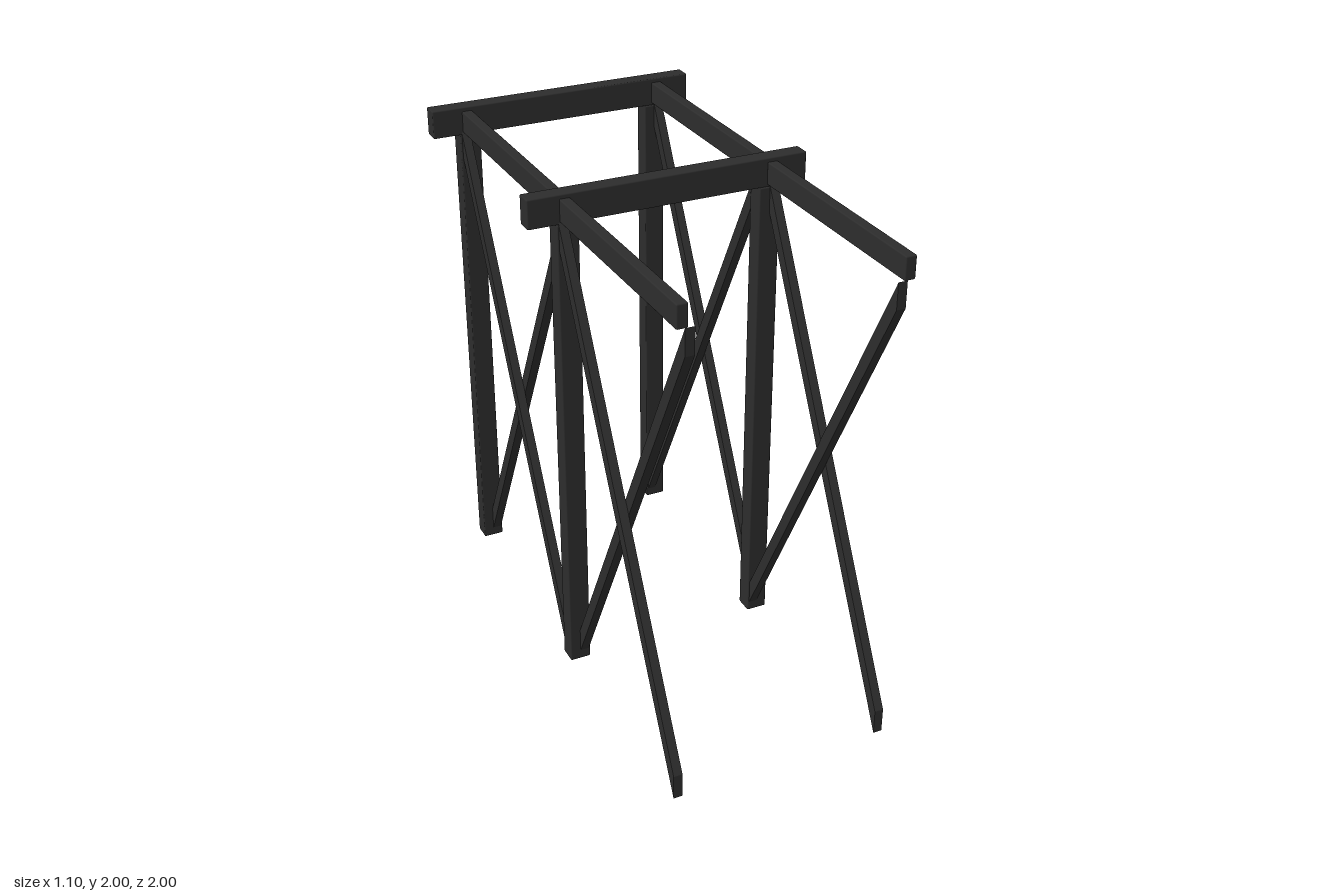
import * as THREE from 'three';
import { RoundedBoxGeometry } from 'three/addons/geometries/RoundedBoxGeometry.js';

const darkTimber = new THREE.MeshStandardMaterial({ color: 0x2d2d2d });
darkTimber.name = 'darkTimber';

// Beam with finely bevelled edges, given by its minimum and maximum corners
function beam(name, [x0, y0, z0], [x1, y1, z1]) {
  const geometry = new RoundedBoxGeometry(x1 - x0, y1 - y0, z1 - z0, 1, 0.005);
  const mesh = new THREE.Mesh(geometry, darkTimber);
  mesh.position.set((x0 + x1) / 2, (y0 + y1) / 2, (z0 + z1) / 2);
  mesh.name = name;
  return mesh;
}

// Diagonal plank with upright-cut ends, from height ya at za to yb at zb (za > zb)
function brace(name, x, width, za, ya, zb, yb) {
  const h = 0.05;
  const shape = new THREE.Shape([
    new THREE.Vector2(-za, ya - h), new THREE.Vector2(-zb, yb - h),
    new THREE.Vector2(-zb, yb + h), new THREE.Vector2(-za, ya + h),
  ]);
  const geometry = new THREE.ExtrudeGeometry(shape, { depth: width, bevelEnabled: false });
  geometry.rotateY(Math.PI / 2); // shape x becomes -z, depth becomes +x
  const mesh = new THREE.Mesh(geometry, darkTimber);
  mesh.position.x = x;
  mesh.name = name;
  return mesh;
}

export function createModel() {
  const model = new THREE.Group();
  model.name = 'trestleFrame';

  // Two bents: a pair of posts under a cross beam
  for (const z of [0.033, -0.963]) {
    model.add(beam('crossBeam', [-0.55, 1.888, z - 0.034], [0.55, 2, z + 0.034]));
    for (const x of [-0.4, 0.4]) {
      model.add(beam('post', [x - 0.042, 0, z - 0.037], [x + 0.042, 1.888, z + 0.037]));
    }
  }

  // Two bays on each side: a rail above a pair of crossed braces
  for (const side of [1, -1]) {
    const across = (inner, outer) => (side > 0 ? [inner, outer] : [-outer, -inner]);
    const [railMin, railMax] = across(0.388, 0.43);
    const [outMin, outMax] = across(0.4, 0.435);
    const [inMin, inMax] = across(0.365, 0.4);
    for (const [front, back] of [[0.995, 0.065], [0, -0.93]]) {
      model.add(beam('sideRail', [railMin, 1.898, back], [railMax, 1.985, front]));
      model.add(brace('risingBrace', outMin, outMax - outMin,
        front > 0.5 ? 1 : front, 0.08, back, 1.85));
      model.add(brace('fallingBrace', inMin, inMax - inMin, front, 1.85, back, 0.08));
    }
  }
  return model;
}
